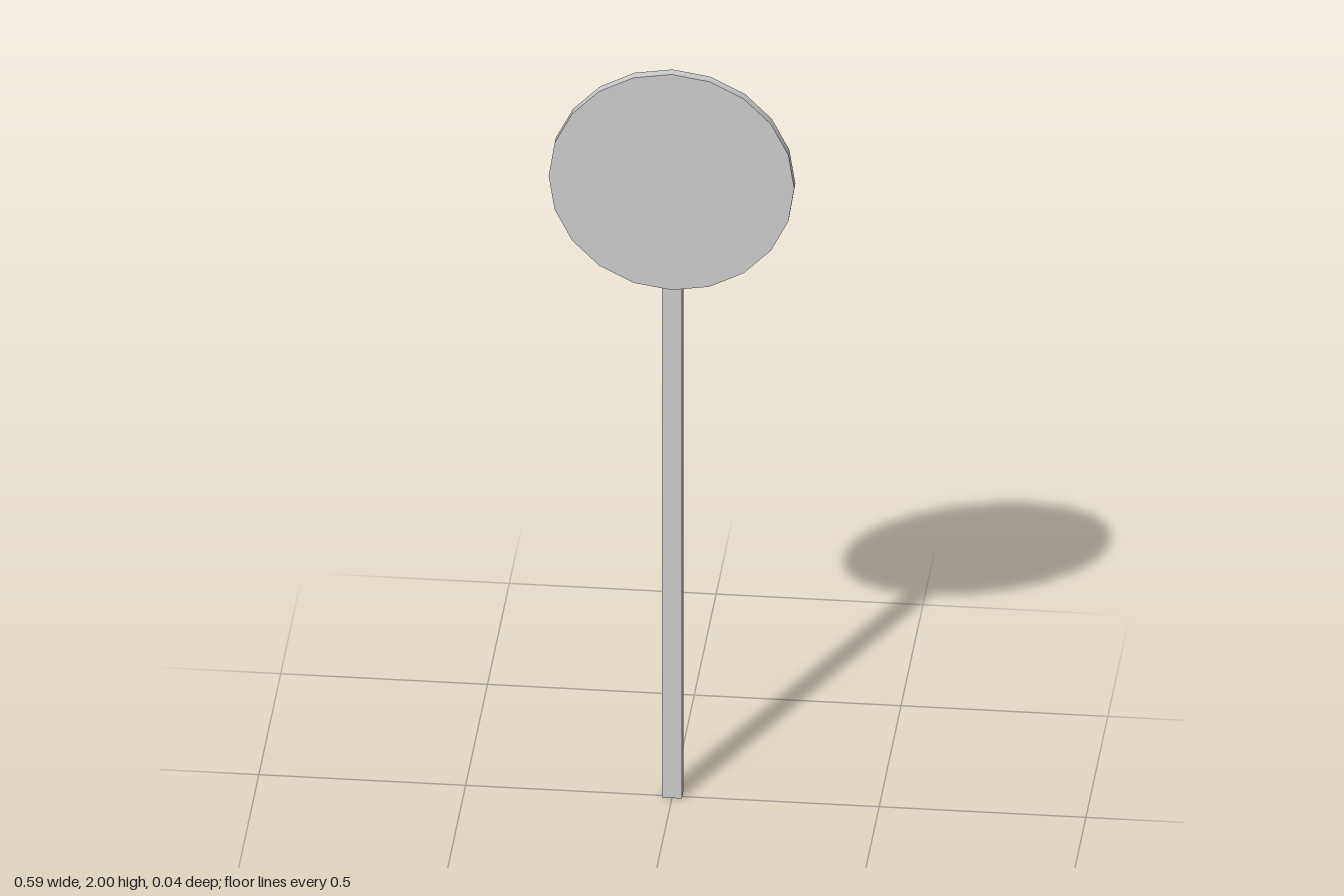
import * as THREE from 'three';

export function createModel() {
  const model = new THREE.Group();
  const grey = new THREE.MeshStandardMaterial({ color: 0xcccccc });
  grey.name = 'light grey';

  // Round plate: 20-sided disc with a smooth rim, facing +z
  const radius = 0.297;
  const plate = new THREE.Mesh(new THREE.CylinderGeometry(radius, radius, 0.025, 20), grey);
  plate.name = 'signPlate';
  plate.rotation.x = Math.PI / 2;
  plate.position.set(0, 2 - radius, 0.0085);
  model.add(plate);

  // Square post, let into the back of the plate
  const postHeight = 1.75;
  const post = new THREE.Mesh(new THREE.BoxGeometry(0.048, postHeight, 0.032), grey);
  post.name = 'post';
  post.position.set(0, postHeight / 2, -0.006);
  model.add(post);

  return model;
}
